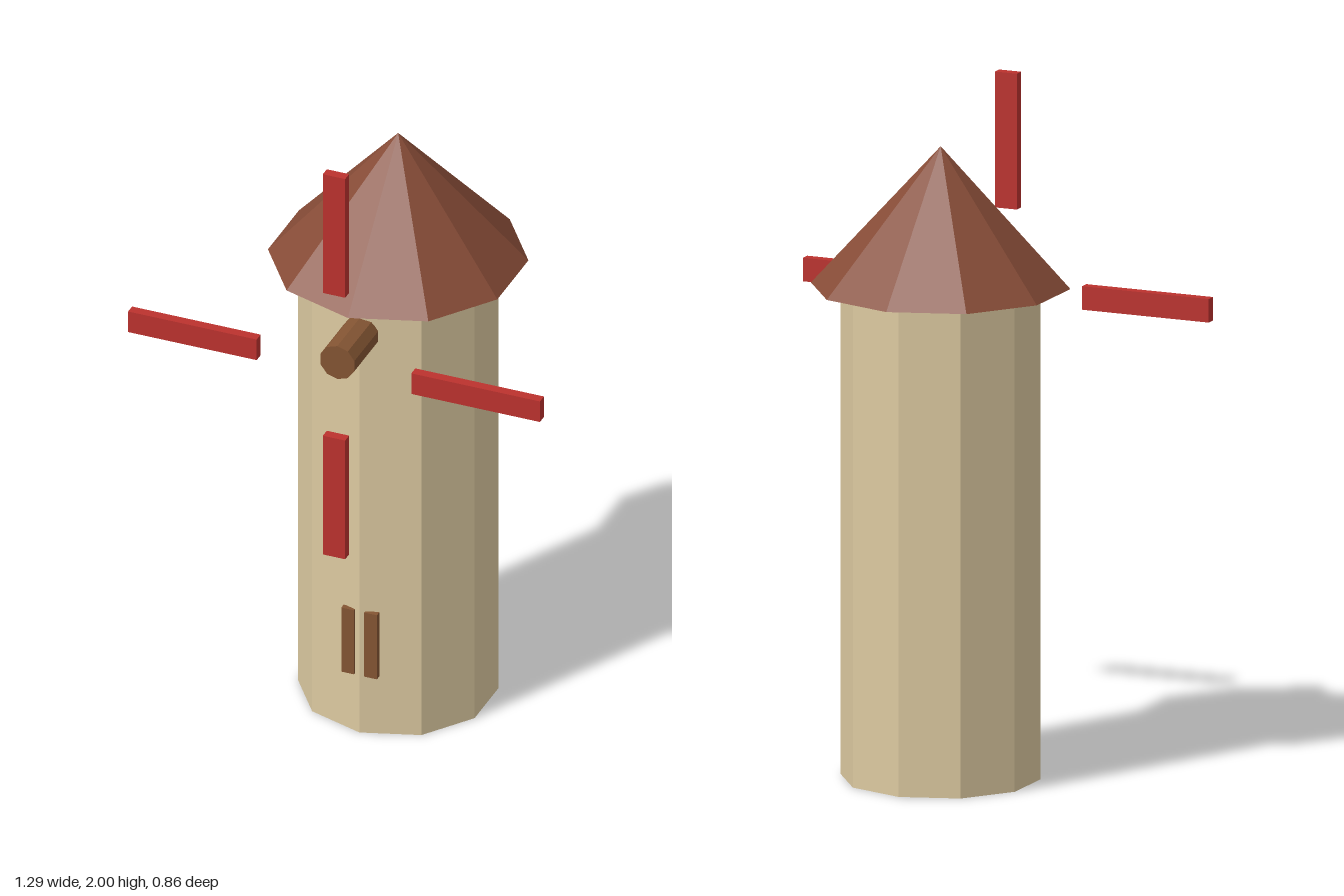
import * as THREE from 'three';

export function createModel() {
  const model = new THREE.Group();
  model.name = 'windmill';
  const paint = (color) => new THREE.MeshStandardMaterial({ color, flatShading: true });
  const stone = paint(0xdcc9a0), tile = paint(0x874c37), wood = paint(0x845533), red = paint(0xbc322e);

  const add = (name, geometry, material, x, y, z, parent = model) => {
    const mesh = new THREE.Mesh(geometry, material);
    mesh.name = name;
    mesh.position.set(x, y, z);
    parent.add(mesh);
    return mesh;
  };

  // Ten-sided tower and overhanging roof, a corner facing the front
  const axisZ = -0.052, wallTop = 1.46, roofHeight = 0.415;
  add('tower', new THREE.CylinderGeometry(0.292, 0.292, wallTop, 10), stone, 0, wallTop / 2, axisZ);
  add('roof', new THREE.ConeGeometry(0.379, roofHeight, 10), tile, 0, wallTop + roofHeight / 2, axisZ);

  // Axle projecting from the tower's front corner
  const hubY = 1.353;
  const axle = add('axle', new THREE.CylinderGeometry(0.056, 0.056, 0.18, 10), wood, 0, hubY, 0.316);
  axle.rotation.x = Math.PI / 2;

  // Four separate sail boards around the axle
  const sails = new THREE.Group();
  sails.name = 'sails';
  sails.position.set(0, hubY, 0.416);
  model.add(sails);
  const board = new THREE.BoxGeometry(0.07, 0.404, 0.03);
  for (let i = 0; i < 4; i++) {
    const angle = i * Math.PI / 2;
    const sail = add('sail', board, red, Math.sin(angle) * 0.445, Math.cos(angle) * 0.445, 0, sails);
    sail.rotation.z = -angle;
  }

  // Pair of narrow door panels either side of the front corner
  for (const side of [-1, 1]) {
    add('doorPanel', new THREE.BoxGeometry(0.04, 0.218, 0.018), wood, side * 0.036, 0.304, 0.233);
  }
  return model;
}
